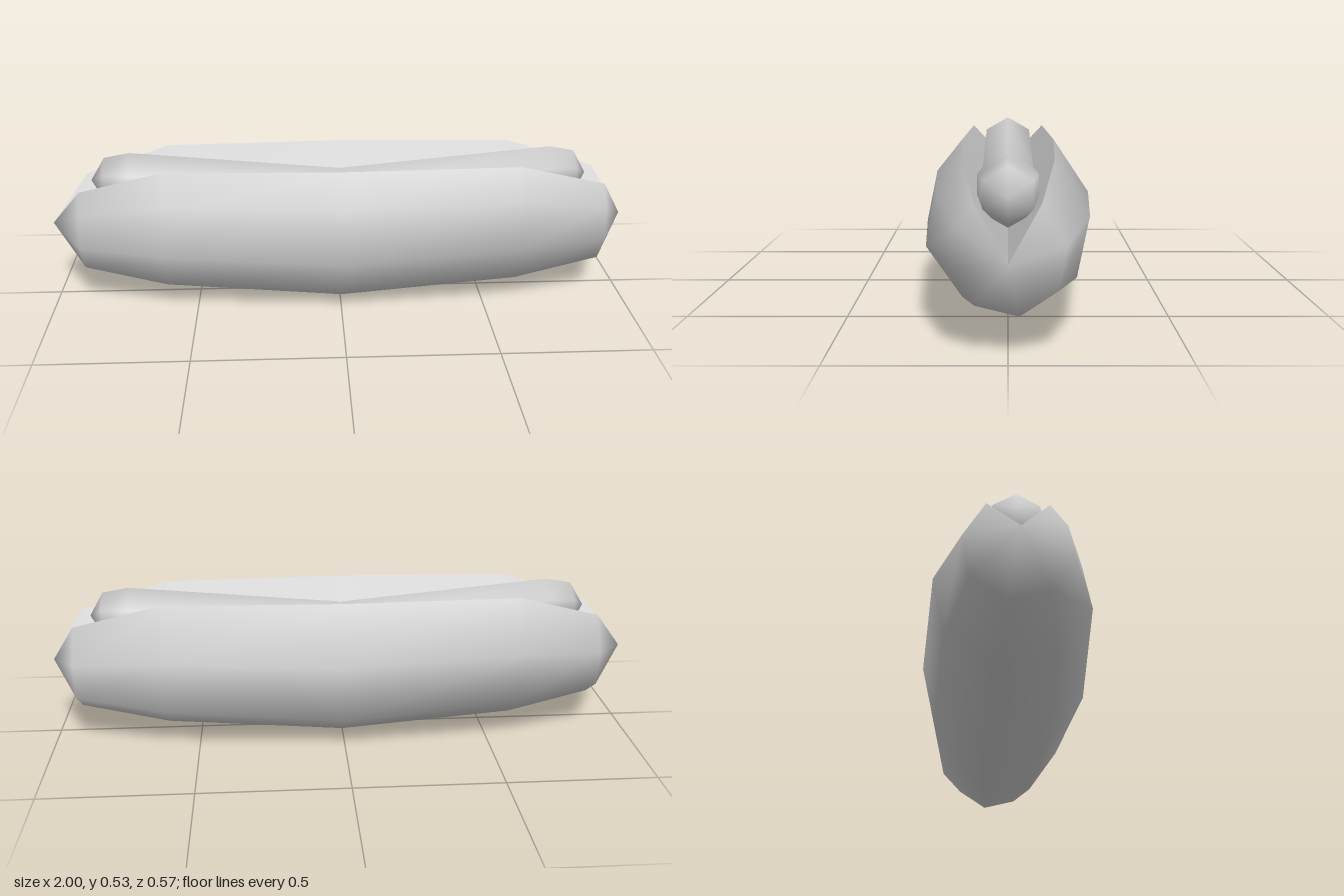
import * as THREE from 'three';
import { mergeVertices } from 'three/addons/utils/BufferGeometryUtils.js';

const material = new THREE.MeshStandardMaterial({ color: 0xcccccc });

// Smooth skin over rows of [x, y, z] points running along +x, each going anticlockwise seen from +x.
function loft(rows) {
  const n = rows[0].length;
  const index = [];
  for (let i = 0; i < rows.length - 1; i++) {
    for (let j = 0; j < n - 1; j++) {
      const a = i * n + j, b = a + 1, c = a + n, d = c + 1;
      // Rows at the tips are a single point, so skip the collapsed triangle there
      if (i > 0) index.push(a, b, c);
      if (i < rows.length - 2) index.push(b, d, c);
      if (i === 0) index.push(a, d, c);
    }
  }
  const geometry = new THREE.BufferGeometry();
  geometry.setAttribute('position', new THREE.Float32BufferAttribute(rows.flat(2), 3));
  geometry.setIndex(index);
  const merged = mergeVertices(geometry, 1e-4);
  merged.computeVertexNormals();
  return merged;
}

function part(name, geometry) {
  const mesh = new THREE.Mesh(geometry, material);
  mesh.name = name;
  return mesh;
}

// Bun cross-section at the middle as [z, y], from one lip of the slit round to the other
const bunProfile = [
  [0.16, 0.505], [0.248, 0.395], [0.284, 0.22], [0.16, 0.05],
  [-0.055, 0], [-0.24, 0.115], [-0.283, 0.32], [-0.16, 0.505],
];

// Bun stations: x, width scale, height scale, underside y, slit bottom y
const bunStations = [
  [-1, 0, 0, 0.273, 0.273],
  [-0.885, 0.57, 0.615, 0.11, 0.273],
  [-0.6, 0.86, 0.907, 0.046, 0.268],
  [0, 1, 1, 0, 0.25],
  [0.61, 0.86, 0.907, 0.046, 0.268],
  [0.91, 0.57, 0.615, 0.11, 0.273],
  [1, 0, 0, 0.273, 0.273],
];

function createBun() {
  const bun = new THREE.Group();
  bun.name = 'bun';
  const crust = bunStations.map(([x, w, h, base]) => bunProfile.map(([z, y]) => [x, base + y * h, z * w]));
  const slit = bunStations.map(([x, , , , y]) => [x, y, 0]);
  bun.add(
    part('crust', loft(crust)),
    part('slitWallFront', loft(crust.map((row, i) => [slit[i], row[0]]))),
    part('slitWallBack', loft(crust.map((row, i) => [row[row.length - 1], slit[i]]))),
  );
  return bun;
}

// Six-sided sausage that sags towards the middle; stations: x, centre y, radius
function createSausage() {
  const stations = [
    [-0.855, 0.43, 0], [-0.805, 0.43, 0.081], [-0.72, 0.425, 0.102],
    [0, 0.358, 0.102],
    [0.73, 0.425, 0.102], [0.815, 0.43, 0.081], [0.862, 0.43, 0],
  ];
  const rows = stations.map(([x, y, r]) => Array.from({ length: 7 }, (_, k) => {
    const angle = (k / 6) * Math.PI * 2;
    return [x, y + r * Math.cos(angle), r * Math.sin(angle)];
  }));
  return part('sausage', loft(rows));
}

export function createModel() {
  const model = new THREE.Group();
  model.name = 'hotDog';
  model.add(createBun(), createSausage());
  return model;
}
